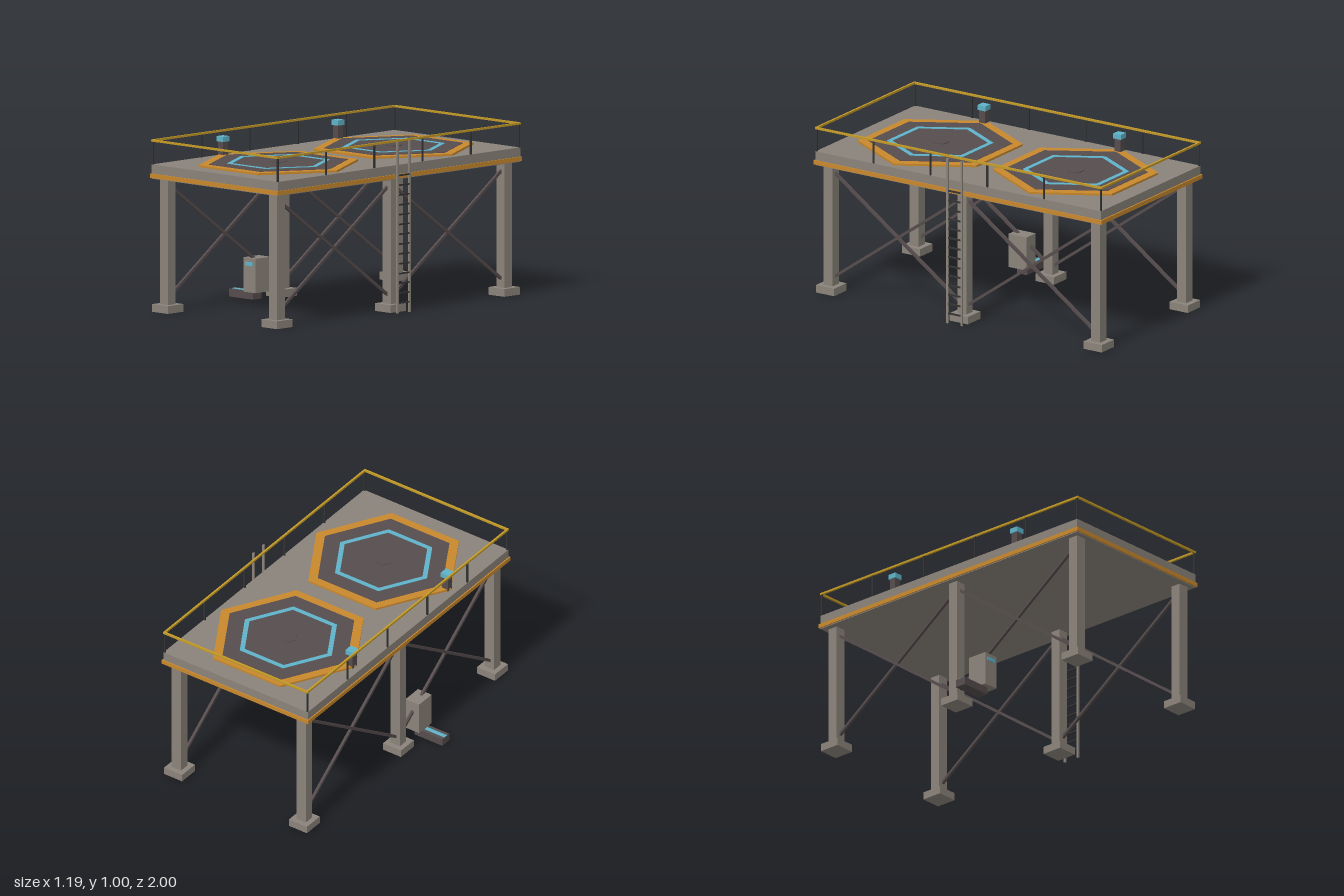
import * as THREE from 'three';

const mat = (name, color) => Object.assign(new THREE.MeshStandardMaterial({ color }), { name });

export function createModel() {
  const concrete = mat('concrete', 0x8a837a);
  const darkSteel = mat('dark steel', 0x564c4d);
  const orange = mat('orange paint', 0xc9882c);
  const blue = mat('light blue', 0x5fb3c9);
  const yellow = mat('rail yellow', 0xc49a26);
  const black = mat('black steel', 0x353334);

  const model = new THREE.Group();
  model.name = 'landingPlatform';
  const CX = 0.038; // deck centre in x

  const add = (name, geo, material, x, y, z, parent = model) => {
    const mesh = new THREE.Mesh(geo, material);
    mesh.name = name;
    mesh.position.set(x, y, z);
    parent.add(mesh);
    return mesh;
  };
  // Box given by its size, centre x/z and bottom y
  const box = (name, m, w, h, d, x, y0, z, parent) =>
    add(name, new THREE.BoxGeometry(w, h, d), m, x, y0 + h / 2, z, parent);

  // Hexagonal plate with corners on the x axis, optionally with a hole
  const hexPath = (r, P) => new P(Array.from({ length: 6 }, (_, i) =>
    new THREE.Vector2(r * Math.cos(i * Math.PI / 3), r * Math.sin(i * Math.PI / 3))));
  const hex = (name, m, r, hole, y0, h, x, z, parent) => {
    const shape = hexPath(r, THREE.Shape);
    if (hole) shape.holes.push(hexPath(hole, THREE.Path));
    const geo = new THREE.ExtrudeGeometry(shape, { depth: h, bevelEnabled: false });
    geo.rotateX(-Math.PI / 2);
    return add(name, geo, m, x, y0, z, parent);
  };

  // Deck slab with painted edge band
  box('deck', concrete, 1.02, 0.083, 1.98, CX, 0.772, 0);
  [-1, 1].forEach((s) => {
    box('edgeBandEnd', orange, 1.034, 0.025, 0.02, CX, 0.777, s * 0.988);
    box('edgeBandSide', orange, 0.02, 0.025, 1.996, CX + s * 0.507, 0.777, 0);
  });

  // Legs, footings and cross braces on both long sides
  const legZ = [-0.928, 0, 0.928];
  [-1, 1].forEach((s) => {
    const x = CX + s * 0.441;
    legZ.forEach((z) => {
      box('leg', concrete, 0.066, 0.735, 0.062, x, 0.04, z);
      box('footing', concrete, 0.127, 0.045, 0.127, x, 0, z);
    });
    [-1, 1].forEach((bay) => [-1, 1].forEach((slope) => {
      const dy = 0.625, dz = 0.875;
      const brace = add('brace', new THREE.BoxGeometry(0.016, 0.016, Math.hypot(dy, dz)),
        darkSteel, x, 0.41, bay * 0.464);
      brace.rotation.x = slope * Math.atan2(dy, dz);
    }));
  });

  // Landing pads, each with a beacon
  [-0.47, 0.47].forEach((z) => {
    const pad = new THREE.Group();
    pad.name = 'landingPad';
    model.add(pad);
    hex('padBorder', orange, 0.475, 0, 0.853, 0.014, CX, z, pad);
    hex('padSurface', darkSteel, 0.415, 0, 0.866, 0.003, CX, z, pad);
    hex('padRing', blue, 0.307, 0.275, 0.868, 0.003, CX, z, pad);
    hex('padHub', darkSteel, 0.05, 0, 0.868, 0.005, CX, z, pad);
    box('beaconPost', darkSteel, 0.041, 0.09, 0.041, -0.411, 0.855, z, pad);
    box('beaconLamp', blue, 0.053, 0.03, 0.053, -0.411, 0.943, z, pad);
  });

  // Guard rail
  const rail = new THREE.Group();
  rail.name = 'guardRail';
  model.add(rail);
  [-1, 1].forEach((s) => {
    const x = CX + s * 0.504;
    box('sideRail', yellow, 0.012, 0.012, 1.99, x, 0.988, 0, rail);
    box('endRail', yellow, 1.02, 0.012, 0.012, CX, 0.988, s * 0.989, rail);
    for (let i = 0; i < 6; i++) {
      box('railPost', black, 0.009, 0.135, 0.009, x, 0.854, -0.985 + i * 0.394, rail);
    }
  });

  // Access ladder
  const ladder = new THREE.Group();
  ladder.name = 'ladder';
  model.add(ladder);
  [-1, 1].forEach((s) => box('stile', concrete, 0.012, 0.995, 0.012, 0.585, 0, s * 0.049, ladder));
  for (let i = 0; i < 14; i++) {
    box('rung', black, 0.009, 0.009, 0.09, 0.585, 0.055 + i * 0.057, 0, ladder);
  }

  // Control cabinet on its cable duct
  box('cabinet', concrete, 0.096, 0.2, 0.124, -0.402, 0.045, 0.2);
  box('cabinetDisplay', blue, 0.06, 0.022, 0.006, -0.402, 0.2, 0.264);
  box('cableDuct', darkSteel, 0.195, 0.045, 0.07, -0.4975, 0, 0.2);
  box('ductStripe', blue, 0.14, 0.004, 0.026, -0.524, 0.043, 0.2);

  return model;
}
